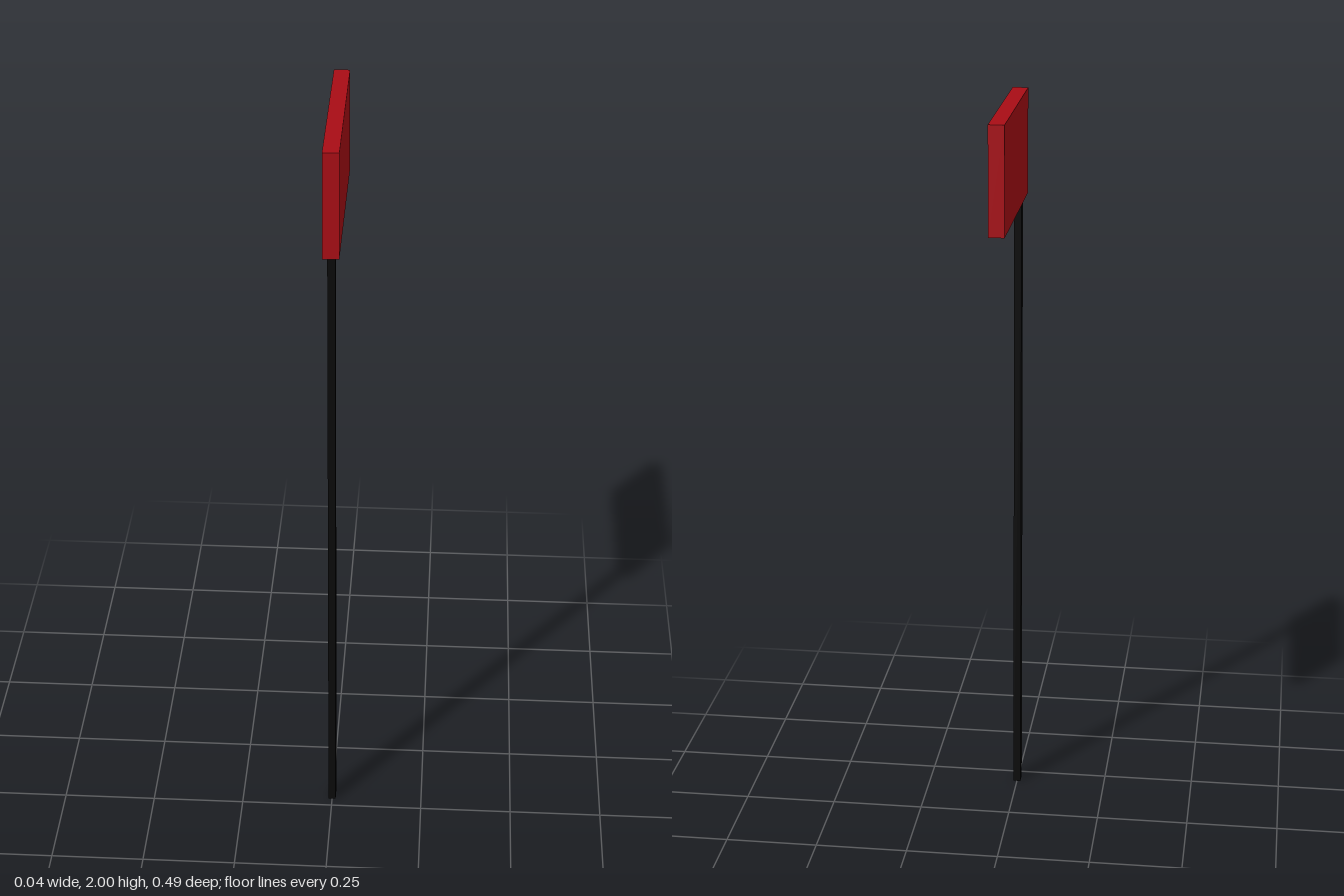
import * as THREE from 'three';

const FLAG_BOTTOM = 1.72;
const FLAG_TOP = 2;

// Box spanning bottom..top in y, centred on x = 0
function addBox(group, name, color, width, depth, bottom, top, z) {
  const mesh = new THREE.Mesh(
    new THREE.BoxGeometry(width, top - bottom, depth),
    new THREE.MeshStandardMaterial({ color })
  );
  mesh.name = name;
  mesh.position.set(0, (bottom + top) / 2, z);
  group.add(mesh);
}

export function createModel() {
  const group = new THREE.Group();
  group.name = 'flagOnPole';

  // Slim rectangular pole under the front end of the flag
  addBox(group, 'pole', 0x0a0a0a, 0.02, 0.032, 0, FLAG_BOTTOM, 0.206);

  // Stiff red flag panel
  addBox(group, 'flag', 0xa80d15, 0.041, 0.492, FLAG_BOTTOM, FLAG_TOP, 0);

  return group;
}
